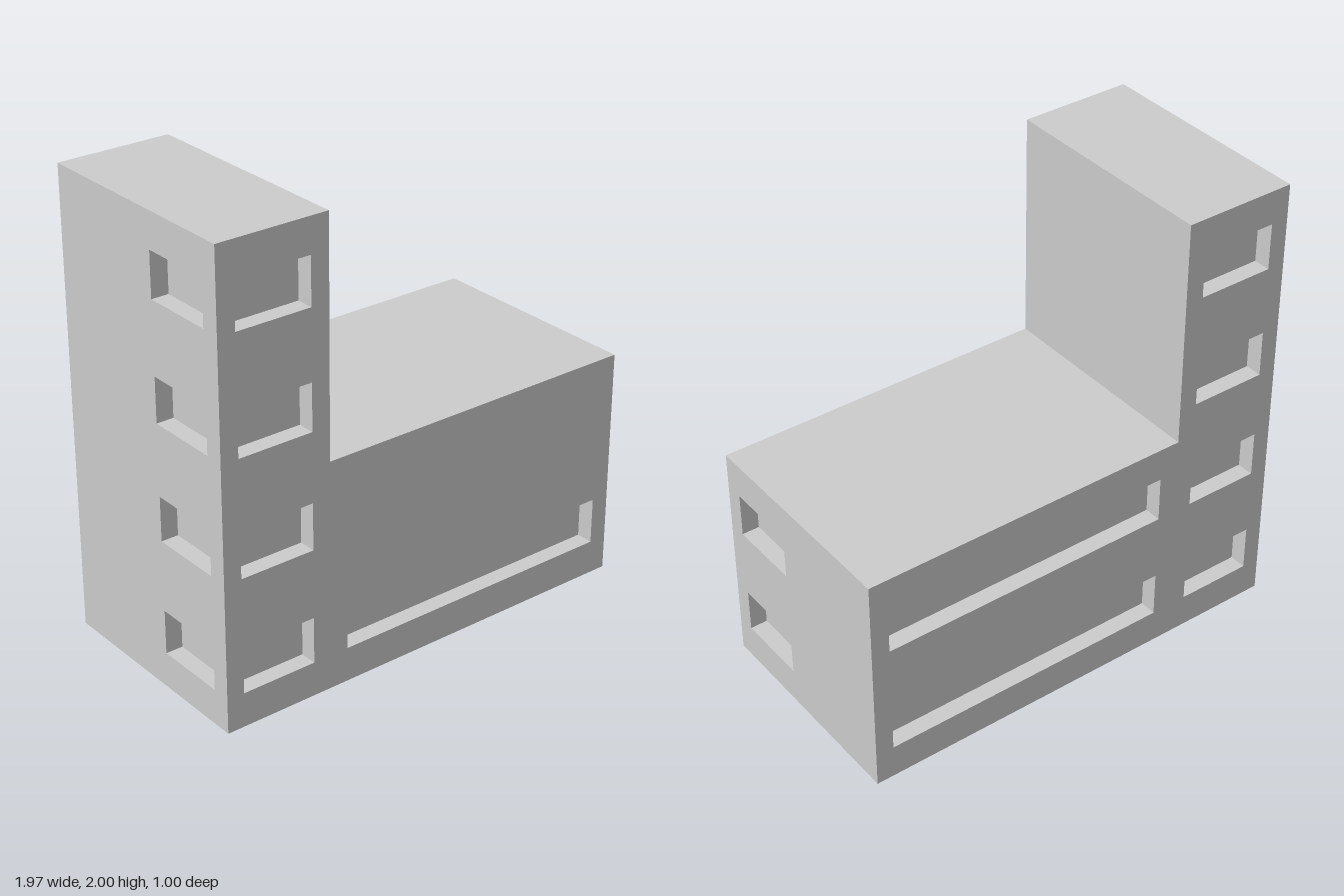
import * as THREE from 'three';

const W = 0.983, D = 0.498, STEP = -0.49;  // half width, half depth, tower edge
const TOP = 2, LOW = 1, INSET = 0.075;     // tower height, wing height, window recess
const material = new THREE.MeshStandardMaterial({ color: 0xcccccc, flatShading: true });

const rect = (u0, v0, u1, v1) => [[u0, v0], [u1, v0], [u1, v1], [u0, v1]];
const toPoints = (pts) => pts.map(([u, v]) => new THREE.Vector2(u, v));

function addPlane(group, name, w, h, position, rotation) {
  const mesh = new THREE.Mesh(new THREE.PlaneGeometry(w, h), material);
  mesh.name = name;
  mesh.position.set(...position);
  mesh.rotation.set(...rotation);
  group.add(mesh);
}

// Recessed window: back pane plus four reveals facing into the opening
function makeWindow([u0, v0, u1, v1]) {
  const g = new THREE.Group();
  g.name = 'window';
  const w = u1 - u0, h = v1 - v0, u = (u0 + u1) / 2, v = (v0 + v1) / 2;
  const q = Math.PI / 2, mid = -INSET / 2;
  addPlane(g, 'pane', w, h, [u, v, -INSET], [0, 0, 0]);
  addPlane(g, 'sill', w, INSET, [u, v0, mid], [-q, 0, 0]);
  addPlane(g, 'lintel', w, INSET, [u, v1, mid], [q, 0, 0]);
  addPlane(g, 'jamb', INSET, h, [u0, v, mid], [0, q, 0]);
  addPlane(g, 'jamb', INSET, h, [u1, v, mid], [0, -q, 0]);
  return g;
}

// Wall drawn in its own plane, with openings and recesses, then turned into place
function makeWall(name, outline, windows, position, turn) {
  const wall = new THREE.Group();
  wall.name = name;
  const shape = new THREE.Shape(toPoints(outline));
  for (const w of windows) {
    shape.holes.push(new THREE.Path(toPoints(rect(...w))));
    wall.add(makeWindow(w));
  }
  const face = new THREE.Mesh(new THREE.ShapeGeometry(shape), material);
  face.name = 'wallFace';
  wall.add(face);
  wall.position.set(...position);
  wall.rotation.y = turn;
  return wall;
}

export function createModel() {
  const model = new THREE.Group();
  model.name = 'building';
  const q = Math.PI / 2;

  // Window rows, one per storey
  const row = (u0, u1, storeys, trim = 0) => Array.from({ length: storeys },
    (_, i) => [u0, 0.15 + trim + i * 0.5, u1, 0.352 - trim + i * 0.5]);
  const mirror = (list) => list.map(([u0, v0, u1, v1]) => [-u1, v0, -u0, v1]);
  const towerRow = row(-0.905, -0.571, 4);
  const wingRow = (storeys) => row(-0.407, 0.903, storeys);

  // Front and back facades
  const outline = [[-W, 0], [W, 0], [W, LOW], [STEP, LOW], [STEP, TOP], [-W, TOP]];
  const flipped = outline.map(([u, v]) => [-u, v]).reverse();
  model.add(makeWall('frontWall', outline, [...towerRow, ...wingRow(1)], [0, 0, D], 0));
  model.add(makeWall('backWall', flipped,
    mirror([...towerRow, ...wingRow(2)]), [0, 0, -D], Math.PI));

  // End walls, with windows toward the front
  const endRow = (n) => row(0.095, 0.417, n, 0.005);
  model.add(makeWall('wingEndWall', rect(-D, 0, D, LOW), mirror(endRow(2)), [W, 0, 0], q));
  model.add(makeWall('towerEndWall', rect(-D, 0, D, TOP), endRow(4), [-W, 0, 0], -q));
  model.add(makeWall('towerInnerWall', rect(-D, LOW, D, TOP), [], [STEP, 0, 0], q));

  // Roofs and base
  addPlane(model, 'towerRoof', STEP + W, 2 * D, [(STEP - W) / 2, TOP, 0], [-q, 0, 0]);
  addPlane(model, 'wingRoof', W - STEP, 2 * D, [(W + STEP) / 2, LOW, 0], [-q, 0, 0]);
  addPlane(model, 'base', 2 * W, 2 * D, [0, 0, 0], [q, 0, 0]);
  return model;
}
